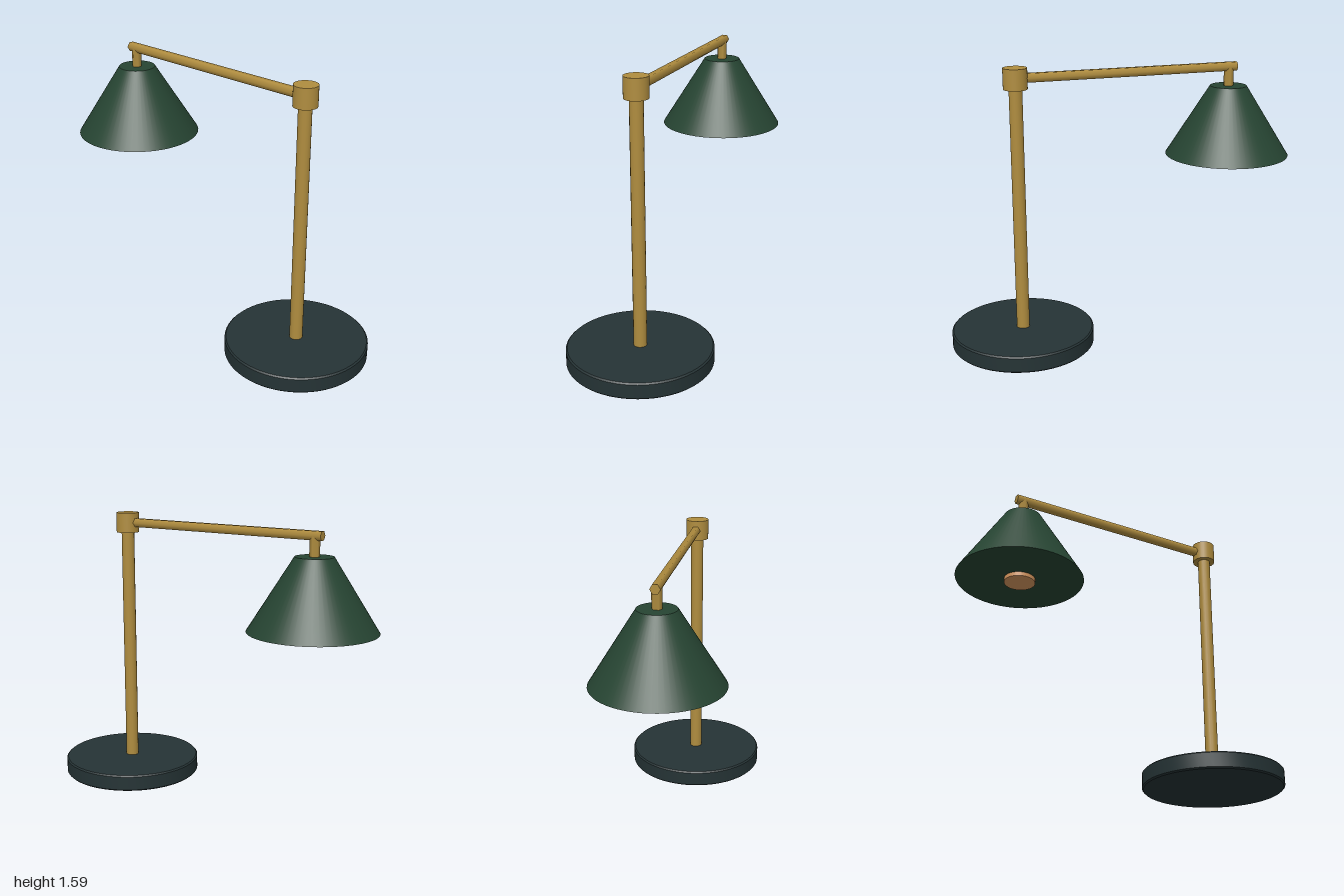
import * as THREE from 'three';
import { toCreasedNormals } from 'three/addons/utils/BufferGeometryUtils.js';

const mat = (name, color) => {
  const m = new THREE.MeshStandardMaterial({ color });
  m.name = name;
  return m;
};

export function createModel() {
  const lamp = new THREE.Group();
  lamp.name = 'deskLamp';

  const brass = mat('brass', 0xb08d3f);
  const slate = mat('darkSlate', 0x253335);
  const green = mat('darkGreen', 0x264432);
  const copper = mat('copperGlow', 0xd6975f);

  const POST_X = 0.595;   // axis of base and post
  const SHADE_X = -0.645; // axis of shade and bulb
  const ARM_Y = 1.528;

  const add = (name, geometry, material, x, y = 0) => {
    const mesh = new THREE.Mesh(geometry, material);
    mesh.name = name;
    mesh.position.set(x, y, 0);
    lamp.add(mesh);
    return mesh;
  };

  // Upright cylinder or frustum between two heights
  const upright = (name, material, x, y0, y1, rBottom, rTop, sides) =>
    add(name, new THREE.CylinderGeometry(rTop, rBottom, y1 - y0, sides), material, x, (y0 + y1) / 2);

  // Heavy round base with a small bevel on both rims
  const baseProfile = [
    [0, 0], [0.395, 0], [0.403, 0.008], [0.403, 0.087], [0.395, 0.095], [0, 0.095],
  ].map(([r, y]) => new THREE.Vector2(r, y));
  add('base', toCreasedNormals(new THREE.LatheGeometry(baseProfile, 64), 0.5), slate, POST_X);

  // Post and the joint on top of it
  upright('post', brass, POST_X, 0.09, 1.5, 0.037, 0.037, 16);
  upright('joint', brass, POST_X, 1.47, 1.585, 0.066, 0.066, 32);

  // Slim six-sided arm reaching out over the shade
  const armEnd = -0.69;
  const arm = add('arm', new THREE.CylinderGeometry(0.028, 0.028, POST_X - armEnd, 6),
    brass, (POST_X + armEnd) / 2, ARM_Y);
  arm.rotation.z = Math.PI / 2;

  // Stem, shade and the bulb disc just below the rim
  upright('stem', brass, SHADE_X, 1.4, ARM_Y, 0.028, 0.028, 6);
  upright('shade', green, SHADE_X, 1.018, 1.418, 0.355, 0.105, 64);
  upright('bulb', copper, SHADE_X, 0.995, 1.06, 0.086, 0.086, 32);

  return lamp;
}
